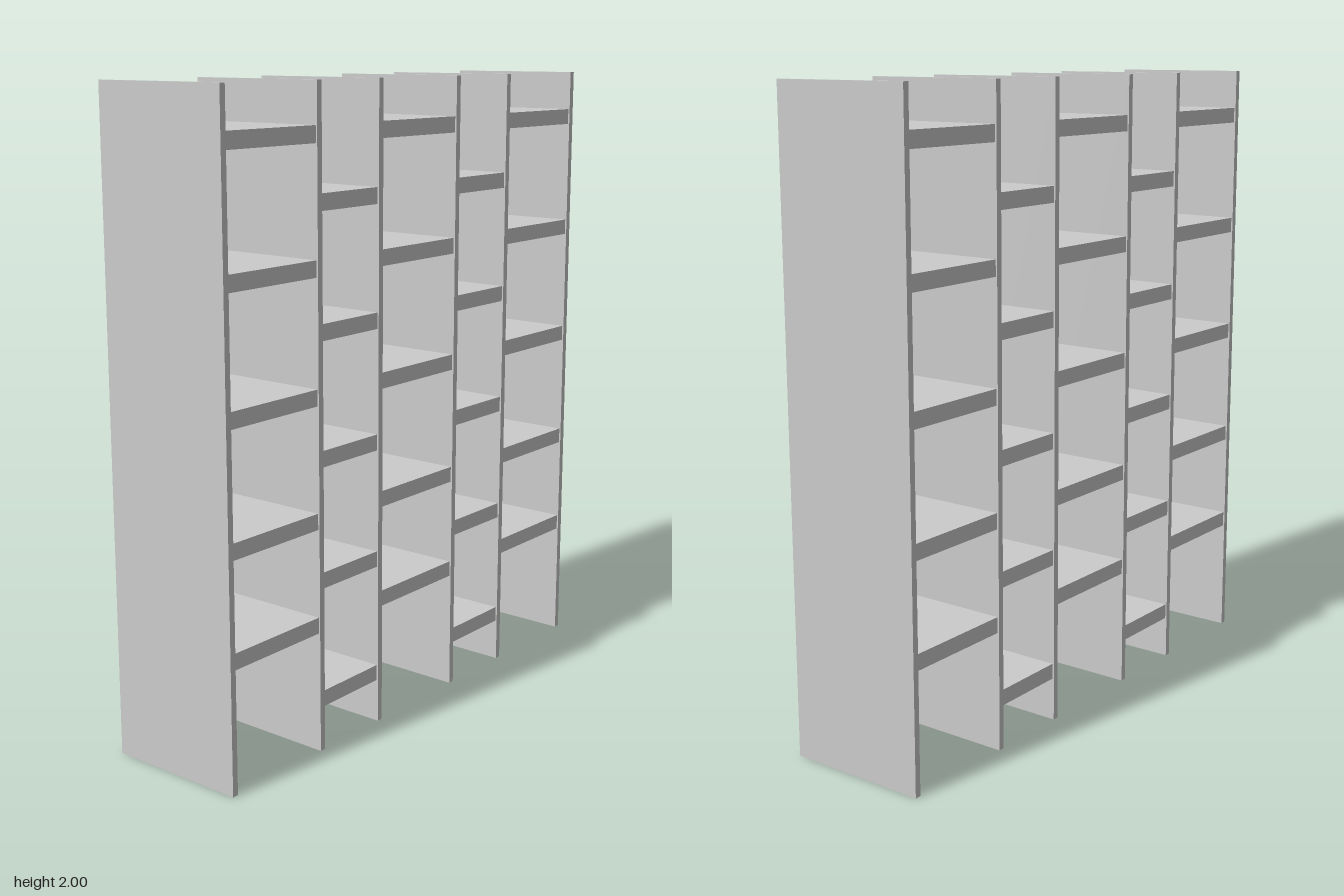
import * as THREE from 'three';

const HEIGHT = 2, DEPTH = 0.46, PANEL = 0.02, SHELF = 0.05;

export function createModel() {
  const group = new THREE.Group();
  group.name = 'shelvingUnit';
  const material = new THREE.MeshStandardMaterial({ color: 0xcccccc, flatShading: true });

  function addBox(name, w, h, d, y, z) {
    const mesh = new THREE.Mesh(new THREE.BoxGeometry(w, h, d), material);
    mesh.name = name;
    mesh.position.set(0, y, z);
    group.add(mesh);
  }

  // Upright panels dividing the unit into five bays
  const panelZ = [-0.86, -0.473, -0.194, 0.194, 0.473, 0.86];
  panelZ.forEach((z) => addBox('uprightPanel', DEPTH, HEIGHT, PANEL, HEIGHT / 2, z));

  // Shelves, staggered between the wide and the narrow bays
  const wideLevels = [0.402, 0.725, 1.098, 1.473, 1.851];
  const narrowLevels = [0.162, 0.537, 0.91, 1.286, 1.66];
  for (let bay = 0; bay < 5; bay++) {
    const wide = bay % 2 === 0;
    const z0 = panelZ[bay] + PANEL / 2, z1 = panelZ[bay + 1] - PANEL / 2;
    for (const y of wide ? wideLevels : narrowLevels) {
      addBox(wide ? 'wideShelf' : 'narrowShelf', DEPTH - 0.01, SHELF, z1 - z0, y, (z0 + z1) / 2);
    }
  }
  return group;
}
